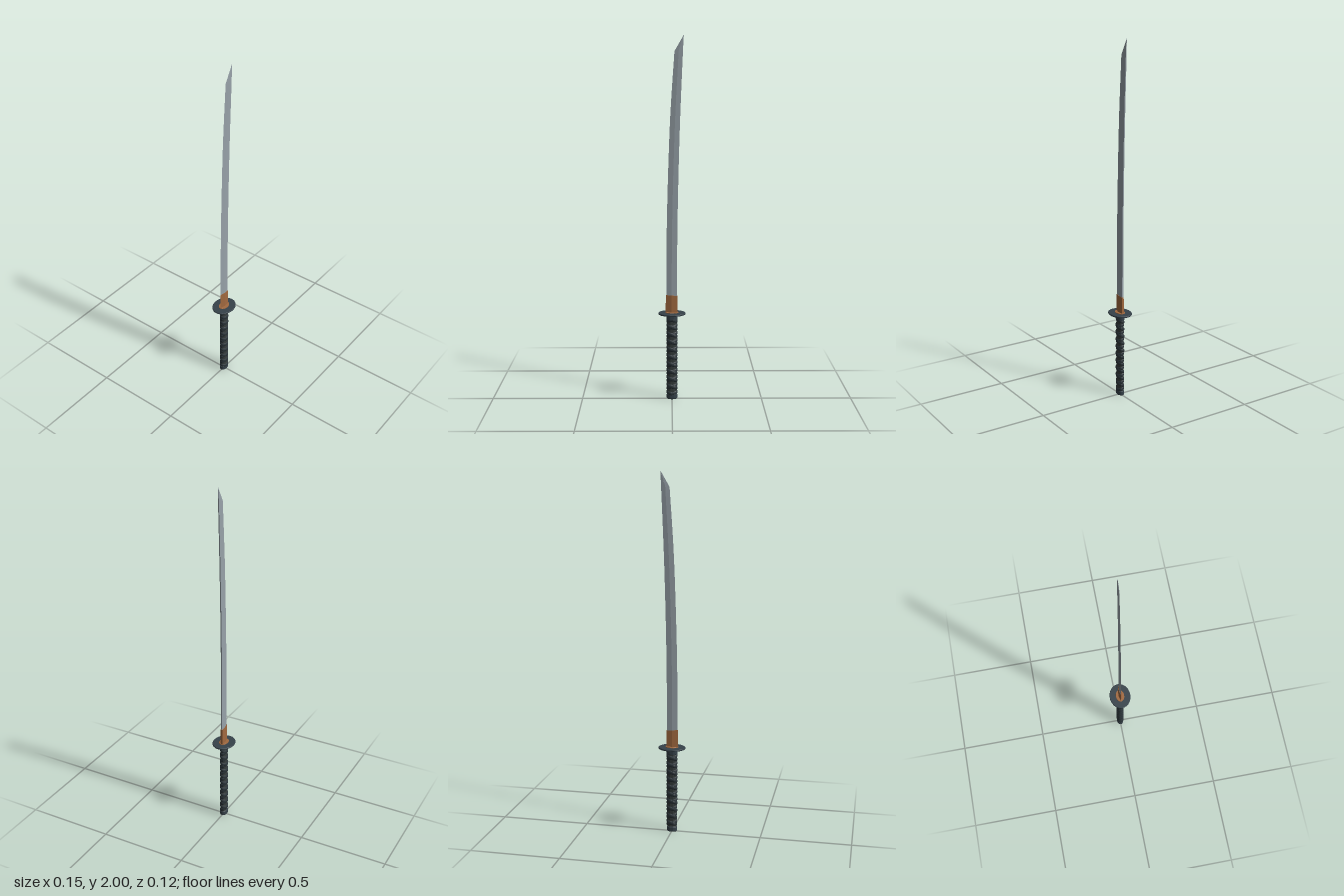
import * as THREE from 'three';
import { toCreasedNormals } from 'three/addons/utils/BufferGeometryUtils.js';

const steel = new THREE.MeshStandardMaterial({ name: 'blade steel', color: 0x98a2a9 });
const copper = new THREE.MeshStandardMaterial({ name: 'copper', color: 0xa1693f });
const iron = new THREE.MeshStandardMaterial({ name: 'dark iron', color: 0x36424a });
const cord = new THREE.MeshStandardMaterial({ name: 'wrap cord', color: 0x2d373c });
const skin = new THREE.MeshStandardMaterial({ name: 'grip skin', color: 0x363d3c });

function addMesh(group, name, geometry, material) {
  const mesh = new THREE.Mesh(geometry, material);
  mesh.name = name;
  group.add(mesh);
  return mesh;
}

// Closed skin through equal-sized cross-sections (arrays of [x, y, z]), capped at both ends
function loft(sections, crease) {
  const n = sections[0].length;
  const index = [];
  for (let s = 0; s < sections.length - 1; s++) {
    for (let i = 0; i < n; i++) {
      const a = s * n + i, b = s * n + (i + 1) % n;
      index.push(a, b, b + n, a, b + n, a + n);
    }
  }
  const top = (sections.length - 1) * n;
  for (let i = 1; i < n - 1; i++) {
    index.push(0, i + 1, i, top, top + i, top + i + 1);
  }
  const g = new THREE.BufferGeometry();
  g.setAttribute('position', new THREE.Float32BufferAttribute(sections.flat(2), 3));
  g.setIndex(index);
  return toCreasedNormals(g, crease);
}

// Oval disc or sleeve with small bevels
function oval(rx, rz, y0, y1, bevel) {
  const profile = [[0, y0], [1 - bevel, y0], [1, y0 + bevel * rx], [1, y1 - bevel * rx], [1 - bevel, y1], [0, y1]];
  const g = new THREE.LatheGeometry(profile.map(p => new THREE.Vector2(...p)), 48);
  g.scale(rx, 1, rz);
  return toCreasedNormals(g, 0.5);
}

// Five-point blade section: cutting edge at -x, ridges, flat spine at +x
function bladeSection(edgeX, edgeY, spineX, spineY, half) {
  const at = (u, z) => [edgeX + (spineX - edgeX) * u, edgeY + (spineY - edgeY) * u, z];
  return [at(0, 0), at(0.5, half), at(1, half * 0.75), at(1, -half * 0.75), at(0.5, -half)];
}

function createBlade() {
  const edge = new THREE.SplineCurve([[-0.031, 0.5], [-0.031, 0.75], [-0.028, 1.0], [-0.02, 1.3], [-0.008, 1.6], [0.013, 1.915]]
    .map(p => new THREE.Vector2(...p)));
  const spine = new THREE.SplineCurve([[0.028, 0.5], [0.028, 0.75], [0.03, 1.0], [0.036, 1.3], [0.045, 1.6], [0.0585, 1.925]]
    .map(p => new THREE.Vector2(...p)));
  const sections = [];
  for (let i = 0; i <= 20; i++) {
    const e = edge.getPoint(i / 20), s = spine.getPoint(i / 20);
    sections.push(bladeSection(e.x, e.y, s.x, s.y, 0.005 - 0.0015 * i / 20));
  }
  // Slanted point
  sections.push(bladeSection(0.0615, 1.999, 0.0625, 2.0, 0.0003));
  return loft(sections, 0.1);
}

// Flat cord spiralling round the oval grip
function wrapBand(dir) {
  const turns = 10, steps = 32 * turns, y0 = 0.03, pitch = 0.0425;
  const sections = [];
  for (let i = 0; i <= steps; i++) {
    const a = dir * i / 32 * Math.PI * 2 + Math.PI / 2;
    const y = y0 + pitch * i / 32;
    // Bulge where the two cords cross, on the front and back faces
    const lift = 0.0015 * Math.sin(a) ** 2 * (1 + 0.5 * dir);
    sections.push([[-0.011, -0.001], [-0.006, 0.003], [0.006, 0.003], [0.011, -0.001]].map(([h, r]) => [
      (0.027 + r + lift) * Math.cos(a), y + h * dir, (0.016 + r + lift) * Math.sin(a),
    ]));
  }
  return loft(sections, 0.7);
}

export function createModel() {
  const sword = new THREE.Group();
  sword.name = 'sword';

  addMesh(sword, 'blade', createBlade(), steel);

  // Collar at the foot of the blade
  addMesh(sword, 'bladeCollar', loft([
    bladeSection(-0.035, 0.492, 0.031, 0.492, 0.009),
    bladeSection(-0.034, 0.592, 0.030, 0.588, 0.0065),
  ], 0.1), copper);

  // Guard with a washer on each face
  addMesh(sword, 'guard', oval(0.075, 0.0615, 0.484, 0.493, 0.03), iron);
  addMesh(sword, 'upperWasher', oval(0.036, 0.025, 0.492, 0.496, 0.02), copper);
  addMesh(sword, 'lowerWasher', oval(0.033, 0.023, 0.480, 0.485, 0.02), copper);

  // Grip
  const handle = new THREE.Group();
  handle.name = 'handle';
  sword.add(handle);
  addMesh(handle, 'gripCore', oval(0.027, 0.016, 0.01, 0.475, 0.02), skin);
  addMesh(handle, 'gripFerrule', oval(0.0305, 0.021, 0.452, 0.481, 0.06), iron);
  addMesh(handle, 'pommelCap', oval(0.0295, 0.02, 0, 0.03, 0.15), iron);
  for (const dir of [1, -1]) {
    addMesh(handle, dir > 0 ? 'rightHandWrap' : 'leftHandWrap', wrapBand(dir), cord);
  }
  return sword;
}
